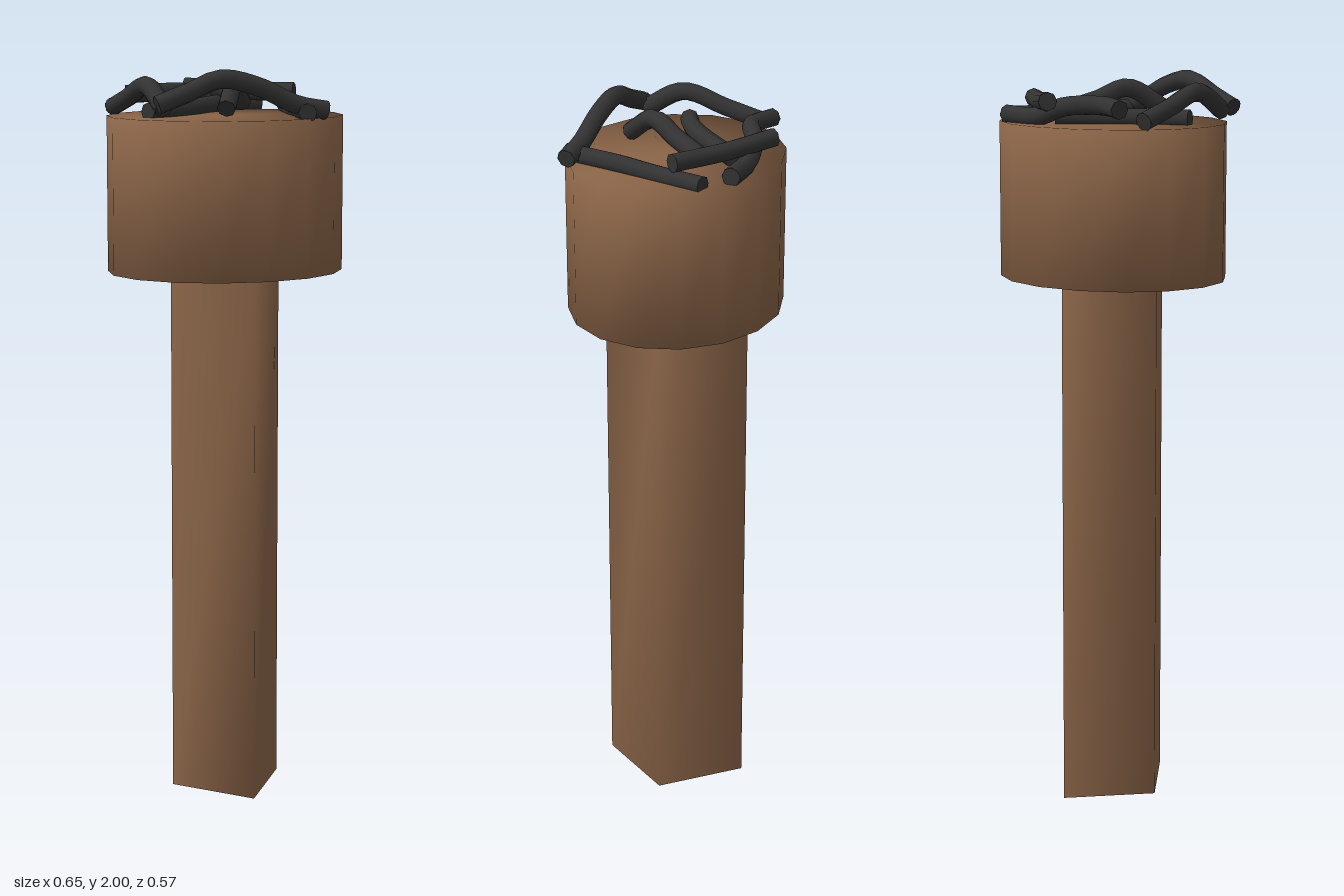
import * as THREE from 'three';
import { mergeVertices } from 'three/addons/utils/BufferGeometryUtils.js';

const brown = new THREE.MeshStandardMaterial({ color: 0x8b6548 });
const charcoal = new THREE.MeshStandardMaterial({ color: 0x333333, side: THREE.DoubleSide });

// Elliptical prism whose normals are blended across sides and caps
function prism(name, rx, rz, y0, y1, sides) {
  let geo = new THREE.CylinderGeometry(1, 1, y1 - y0, sides);
  geo.deleteAttribute('normal');
  geo.deleteAttribute('uv');
  geo = mergeVertices(geo.scale(rx, 1, rz).translate(0, (y0 + y1) / 2, 0));
  geo.computeVertexNormals();
  const mesh = new THREE.Mesh(geo, brown);
  mesh.name = name;
  return mesh;
}

// Bent round stick with closed ends
function stick(name, points, radius = 0.025) {
  const group = new THREE.Group();
  group.name = name;
  const curve = new THREE.CatmullRomCurve3(points.map(p => new THREE.Vector3(...p)));
  group.add(new THREE.Mesh(new THREE.TubeGeometry(curve, 16, radius, 8), charcoal));
  for (const t of [0, 1]) {
    const cap = new THREE.Mesh(new THREE.CircleGeometry(radius, 8), charcoal);
    const out = curve.getTangent(t).multiplyScalar(t ? 1 : -1);
    cap.position.copy(curve.getPoint(t));
    cap.quaternion.setFromUnitVectors(new THREE.Vector3(0, 0, 1), out);
    group.add(cap);
  }
  return group;
}

export function createModel() {
  const model = new THREE.Group();
  model.name = 'torch';

  // Diamond-section shaft and wide head
  model.add(prism('shaft', 0.16, 0.2, 0, 1.45, 4));
  model.add(prism('head', 0.325, 0.285, 1.45, 1.87, 16));

  // Loose pile of charred sticks on the head
  const sticks = {
    rightStick: [[-0.26, 1.89, -0.163], [-0.255, 1.92, -0.06], [-0.25, 1.955, 0.06], [-0.245, 1.9, 0.165]],
    frontStick: [[-0.27, 1.91, 0.18], [-0.19, 1.94, 0.19], [-0.1, 1.975, 0.2], [0, 1.955, 0.212], [0.11, 1.905, 0.225], [0.19, 1.89, 0.235]],
    leftStick: [[0.25, 1.88, -0.15], [0.2, 1.88, 0], [0.17, 1.885, 0.1], [0.125, 1.885, 0.255]],
    backLeftStick: [[-0.01, 1.935, -0.26], [0.11, 1.925, -0.165], [0.235, 1.925, -0.065]],
    backStick: [[-0.21, 1.92, -0.2], [-0.12, 1.925, -0.17], [-0.02, 1.92, -0.205], [0.07, 1.89, -0.215], [0.195, 1.89, -0.207]],
    diagonalStick: [[0.05, 1.89, -0.17], [-0.12, 1.885, -0.025], [-0.18, 1.885, 0.015], [-0.24, 1.885, 0.04]],
    middleStick: [[0.09, 1.9, -0.09], [0.045, 1.925, -0.015], [0, 1.955, 0.06], [-0.06, 1.895, 0.145]],
  };
  for (const [name, points] of Object.entries(sticks)) model.add(stick(name, points));

  return model;
}
